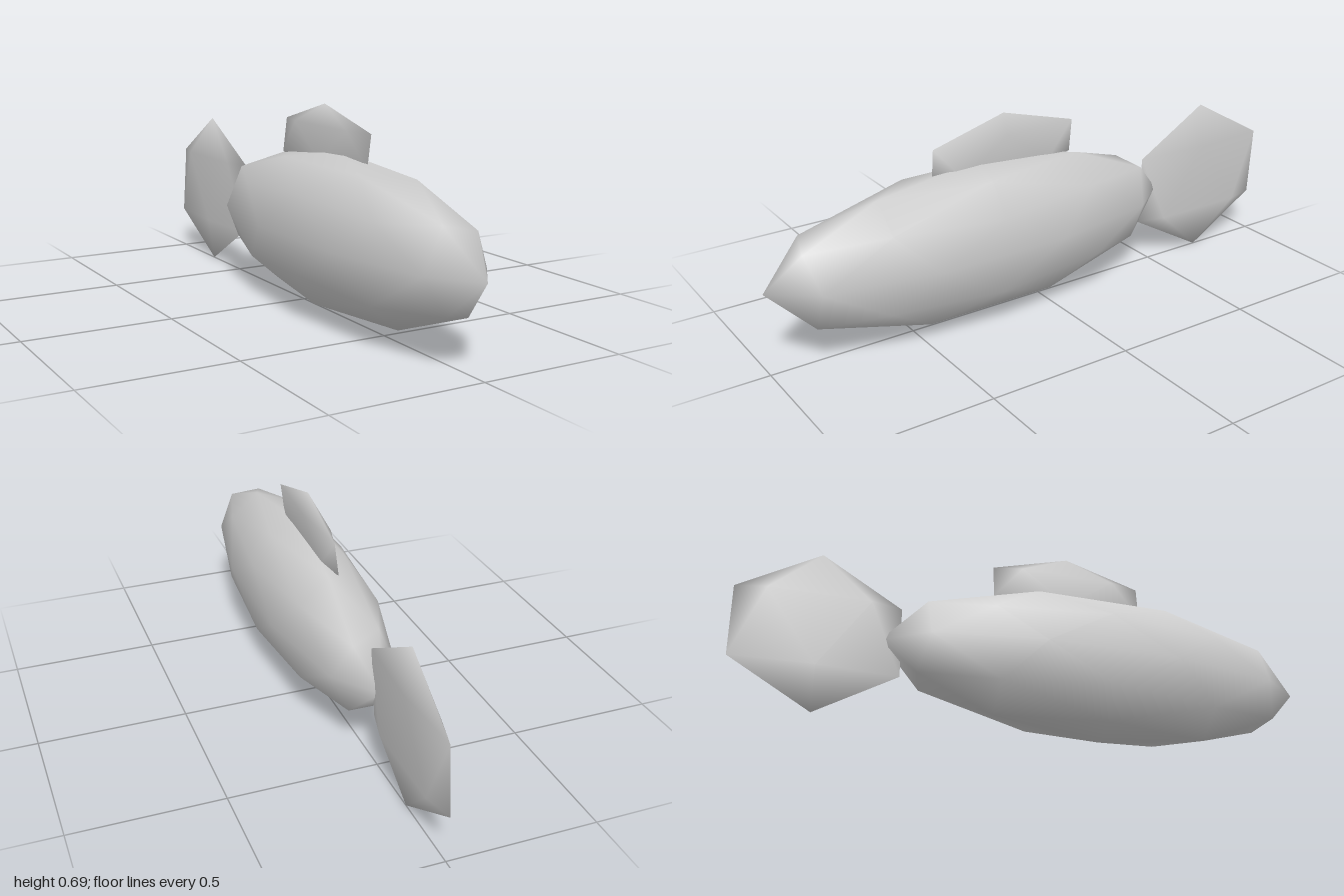
import * as THREE from 'three';
import { mergeVertices } from 'three/addons/utils/BufferGeometryUtils.js';

// Icosphere standing on a vertex, stretched to the given radii, with smooth normals
function icoBlob(detail, rx, ry, rz) {
  const h = 1 / Math.sqrt(5), r = 2 * h;
  const verts = [0, 1, 0, 0, -1, 0];
  for (const [y, offset] of [[h, 0], [-h, Math.PI / 5]]) {
    for (let i = 0; i < 5; i++) {
      const a = offset + (i * 2 * Math.PI) / 5;
      verts.push(r * Math.cos(a), y, -r * Math.sin(a));
    }
  }
  const faces = [];
  for (let i = 0; i < 5; i++) {
    const j = (i + 1) % 5;
    const u = 2 + i, v = 2 + j, l = 7 + i, m = 7 + j;
    faces.push(0, u, v, u, l, v, l, m, v, 1, m, l);
  }
  let geo = new THREE.PolyhedronGeometry(verts, faces, 1, detail);
  geo.deleteAttribute('normal');
  geo.deleteAttribute('uv');
  geo = mergeVertices(geo, 1e-4);
  geo.scale(rx, ry, rz);
  geo.computeVertexNormals();
  return geo;
}

export function createModel() {
  const group = new THREE.Group();
  group.name = 'fish';
  const grey = new THREE.MeshStandardMaterial({ color: 0xcccccc });
  grey.name = 'light grey';

  const add = (name, geo, y, z) => {
    const mesh = new THREE.Mesh(geo, grey);
    mesh.name = name;
    mesh.position.set(0, y, z);
    group.add(mesh);
  };

  add('body', icoBlob(1, 0.19, 0.267, 0.76), 0.28, 0.24);
  add('tailFin', icoBlob(0, 0.027, 0.28, 0.323), 0.28, -0.725);
  add('dorsalFin', icoBlob(0, 0.026, 0.13, 0.317), 0.562, 0.135);
  return group;
}
